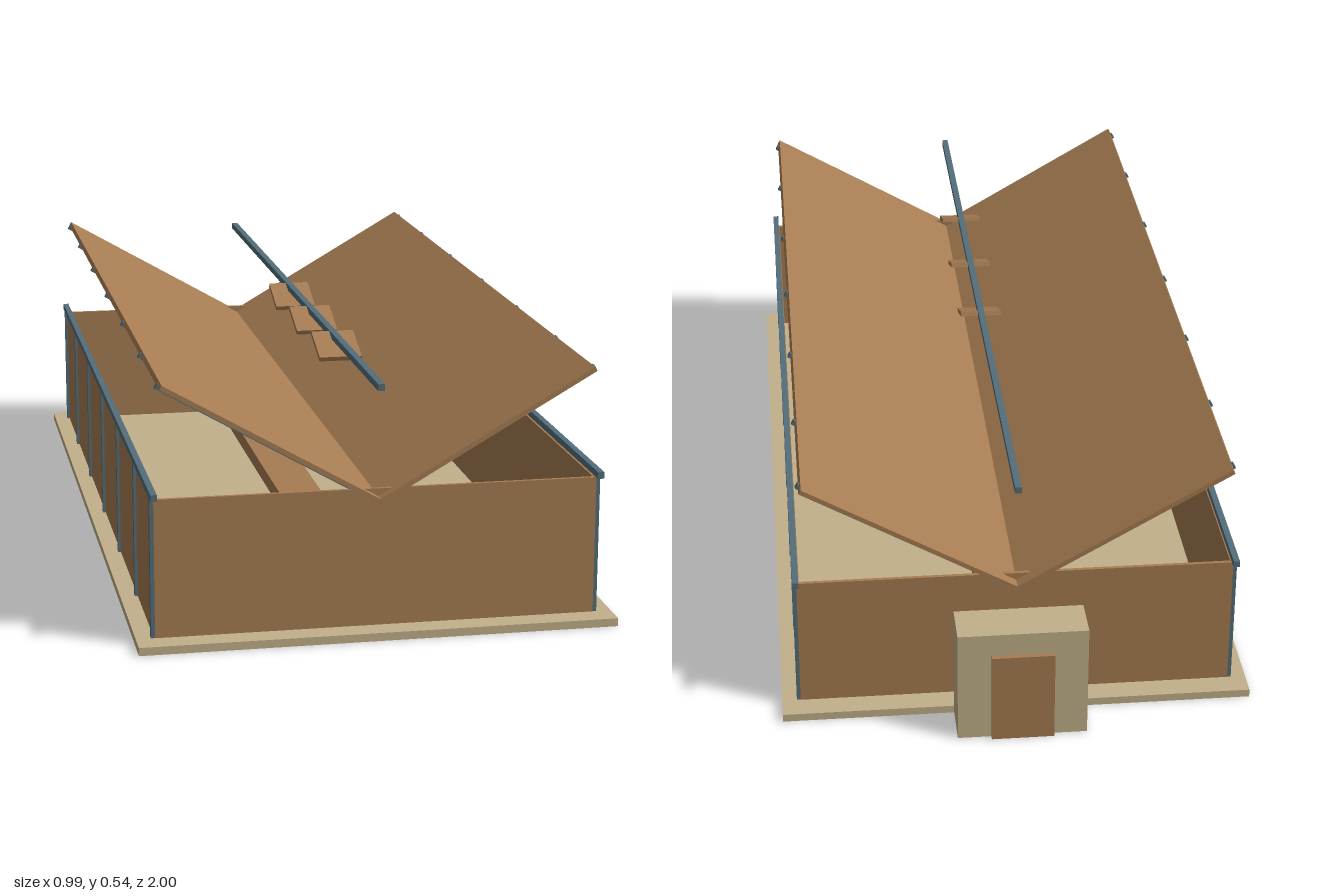
import * as THREE from 'three';

const mat = (color) => new THREE.MeshStandardMaterial({ color });

export function createModel() {
  const group = new THREE.Group();
  const wood = mat(0xa67c52), stone = mat(0xc2b08a), steel = mat(0x546e7a);

  // Box helper: size, centre, parent
  const box = (name, material, [w, h, d], [x, y, z], parent = group) => {
    const mesh = new THREE.Mesh(new THREE.BoxGeometry(w, h, d), material);
    mesh.name = name;
    mesh.position.set(x, y, z);
    parent.add(mesh);
    return mesh;
  };

  const midZ = 0.052;
  const postZ = [0.94, 0.672, 0.362, 0.052, -0.258, -0.568, -0.836];

  // Floor slab and the long low bed on it
  box('floorSlab', stone, [0.99, 0.017, 1.895], [0, 0.0085, midZ]);
  box('longBed', wood, [0.1, 0.036, 1.52], [0, 0.035, 0.1]);

  // End walls
  for (const z of [0.944, -0.84]) box('endWall', wood, [0.912, 0.289, 0.008], [0, 0.1615, z]);

  for (const side of [-1, 1]) {
    // Side wall with posts and top rail
    box('sideWall', wood, [0.008, 0.289, 1.784], [side * 0.454, 0.1615, midZ]);
    for (const z of postZ) box('post', steel, [0.01, 0.31, 0.014], [side * 0.459, 0.155, z]);
    box('topRail', steel, [0.013, 0.014, 1.84], [side * 0.458, 0.316, midZ]);

    // Rising roof leaf, hinged at the central valley, with rafters below
    const leaf = new THREE.Group();
    leaf.name = 'roofLeaf';
    leaf.position.set(0, 0.284, 0.05);
    leaf.rotation.z = side * Math.PI / 6;
    box('roofPanel', wood, [0.51, 0.01, 1.84], [side * 0.255, 0, 0], leaf);
    for (const z of postZ) box('rafter', steel, [0.462, 0.011, 0.012], [side * 0.283, -0.005, z - 0.05], leaf);
    group.add(leaf);
  }

  // Beam above the valley with tilted plates
  box('highBeam', steel, [0.014, 0.014, 1.84], [0, 0.52, 0.05]);
  for (const z of [-0.015, 0.25, 0.515]) {
    box('tiltedPlate', wood, [0.092, 0.01, 0.102], [0, 0.5025, z]).rotation.x = 0.36;
  }

  // Entrance block and door at the back
  box('entranceBlock', stone, [0.27, 0.25, 0.096], [0, 0.125, -0.939]);
  box('door', wood, [0.13, 0.2, 0.02], [0, 0.1, -0.988]);

  return group;
}
